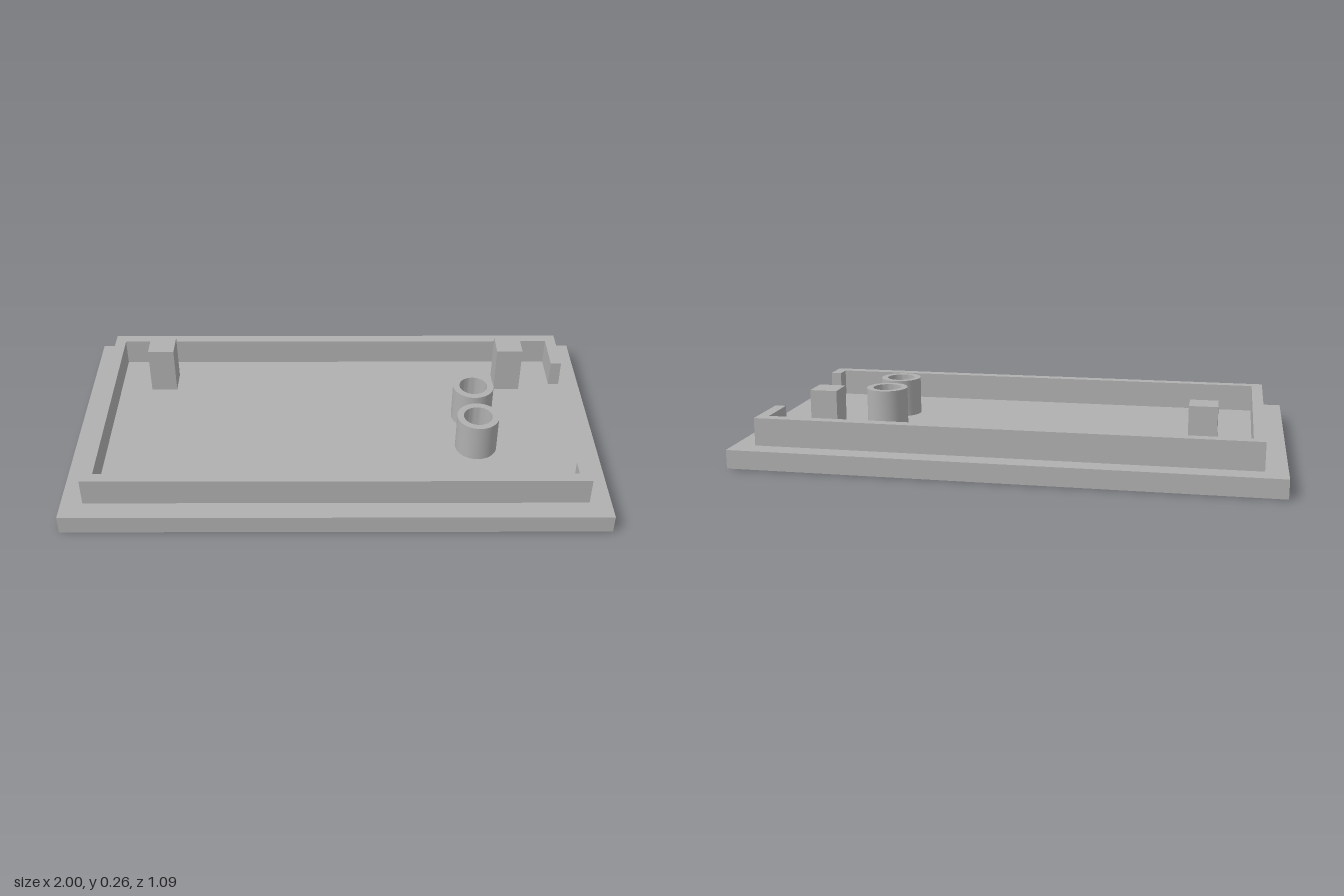
import * as THREE from 'three';
import { toCreasedNormals } from 'three/addons/utils/BufferGeometryUtils.js';

const PLATE_TOP = 0.07, WALL_TOP = 0.174, TUBE_TOP = 0.216, POST_TOP = 0.256;
const TUBE_X = 0.538, TUBE_ZS = [-0.052, 0.141], TUBE_R = 0.079, BORE_R = 0.054;

// Extrude an outline drawn as [x, z] upward from y0 to y1
function slab(points, y0, y1, holes = []) {
  const shape = new THREE.Shape(points.map(([x, z]) => new THREE.Vector2(x, -z)));
  shape.holes.push(...holes);
  const geometry = new THREE.ExtrudeGeometry(shape, { depth: y1 - y0, bevelEnabled: false, curveSegments: 48 });
  return geometry.rotateX(-Math.PI / 2).translate(0, y0, 0);
}

export function createModel() {
  const model = new THREE.Group();
  model.name = 'enclosureLid';
  const grey = new THREE.MeshStandardMaterial({ color: 0xb0b0b0 });
  grey.name = 'grey';

  const add = (name, geometry) => {
    const mesh = new THREE.Mesh(geometry, grey);
    mesh.name = name;
    model.add(mesh);
    return mesh;
  };

  // Base plate, with openings that the tubes pass through
  const openings = TUBE_ZS.map((z) =>
    new THREE.Path().absarc(TUBE_X, -z, (TUBE_R + BORE_R) / 2, 0, Math.PI * 2, true));
  add('basePlate', slab([[-1, 0.544], [1, 0.544], [1, -0.544], [-1, -0.544]], 0, PLATE_TOP, openings));

  // Rim wall, open along most of the +x end with a short return at each corner
  const ox = 0.92, oz = 0.466, ix = 0.878, iz = 0.424, backEnd = -0.262, frontEnd = 0.363;
  add('rimWall', slab([
    [ox, frontEnd], [ox, oz], [-ox, oz], [-ox, -oz], [ox, -oz], [ox, backEnd],
    [ix, backEnd], [ix, -iz], [-ix, -iz], [-ix, iz], [ix, iz], [ix, frontEnd],
  ], PLATE_TOP, WALL_TOP));

  // Hollow tubes, bored right through the plate
  const profile = [[BORE_R, 0], [TUBE_R, 0.002], [TUBE_R, TUBE_TOP], [BORE_R, TUBE_TOP], [BORE_R, 0]]
    .map(([r, y]) => new THREE.Vector2(r, y));
  const tube = toCreasedNormals(new THREE.LatheGeometry(profile, 48), Math.PI / 6);
  TUBE_ZS.forEach((z, i) => {
    add(i ? 'frontTube' : 'backTube', tube).position.set(TUBE_X, 0, z);
  });

  // Square support posts
  const post = new THREE.BoxGeometry(0.102, POST_TOP - PLATE_TOP, 0.102);
  for (const [name, x] of [['rightPost', -0.702], ['leftPost', 0.699]]) {
    add(name, post).position.set(x, (POST_TOP + PLATE_TOP) / 2, -0.279);
  }

  return model;
}
